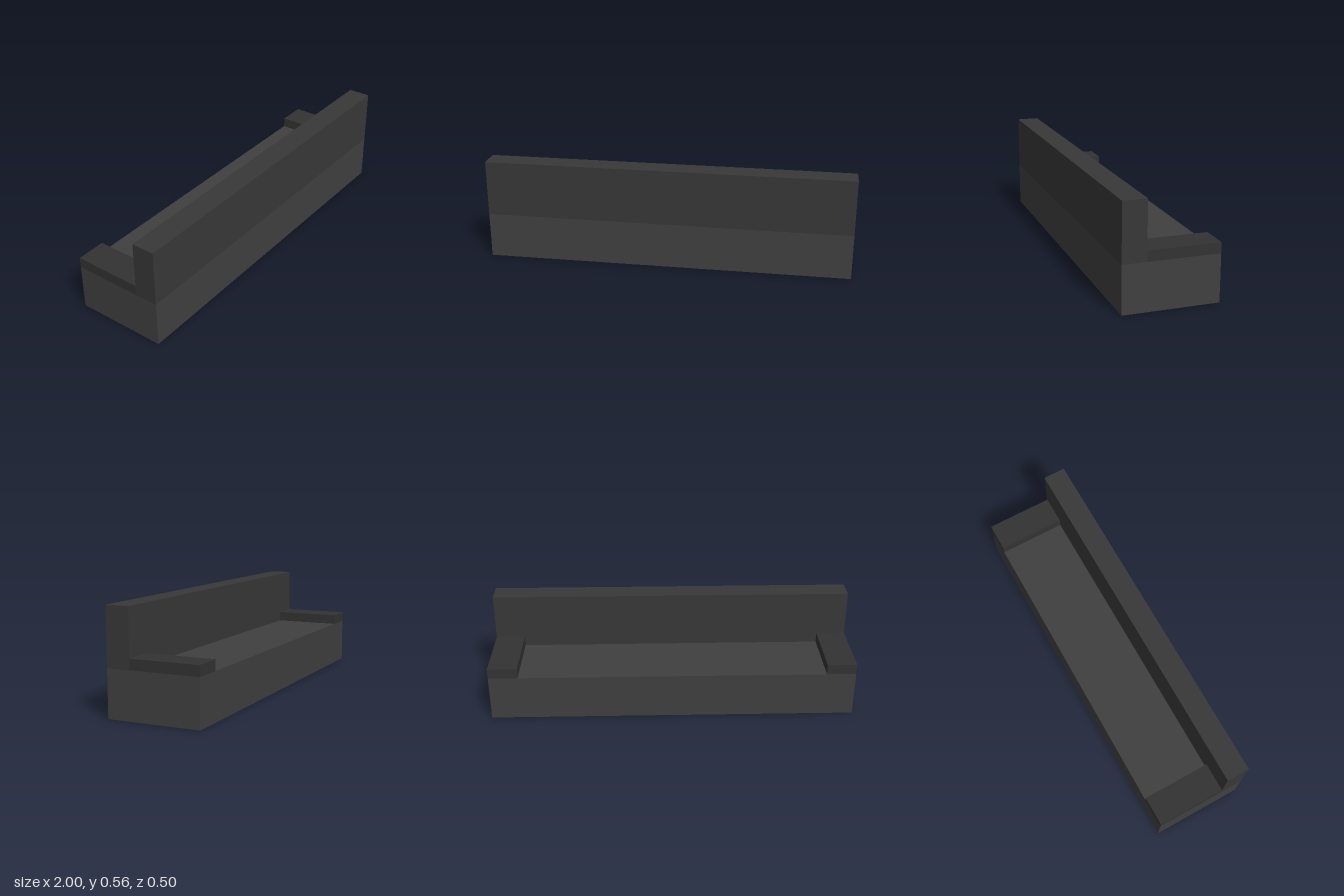
import * as THREE from 'three';

const SEAT_H = 0.25, DEPTH = 0.5, BACK_D = 0.125, BACK_H = 0.305;
const ARM_W = 0.16, ARM_H = 0.056;

export function createModel() {
  const sofa = new THREE.Group();
  sofa.name = 'sofa';

  // Box placed by its centre x, bottom y and centre z
  const addBox = (name, w, h, d, x, y, z, color) => {
    const material = new THREE.MeshStandardMaterial({ color });
    const mesh = new THREE.Mesh(new THREE.BoxGeometry(w, h, d), material);
    mesh.name = name;
    mesh.position.set(x, y + h / 2, z);
    sofa.add(mesh);
  };

  // Solid seat block
  addBox('seat', 2, SEAT_H, DEPTH, 0, 0, 0, 0x404040);

  // Tall backrest along the +z edge
  addBox('backrest', 2, BACK_H, BACK_D, 0, SEAT_H, (DEPTH - BACK_D) / 2, 0x383838);

  // Low armrests at both ends, butting against the backrest
  for (const side of [-1, 1]) {
    addBox(side > 0 ? 'leftArmrest' : 'rightArmrest', ARM_W, ARM_H, DEPTH - BACK_D,
      side * (1 - ARM_W / 2), SEAT_H, -BACK_D / 2, 0x333333);
  }

  return sofa;
}
